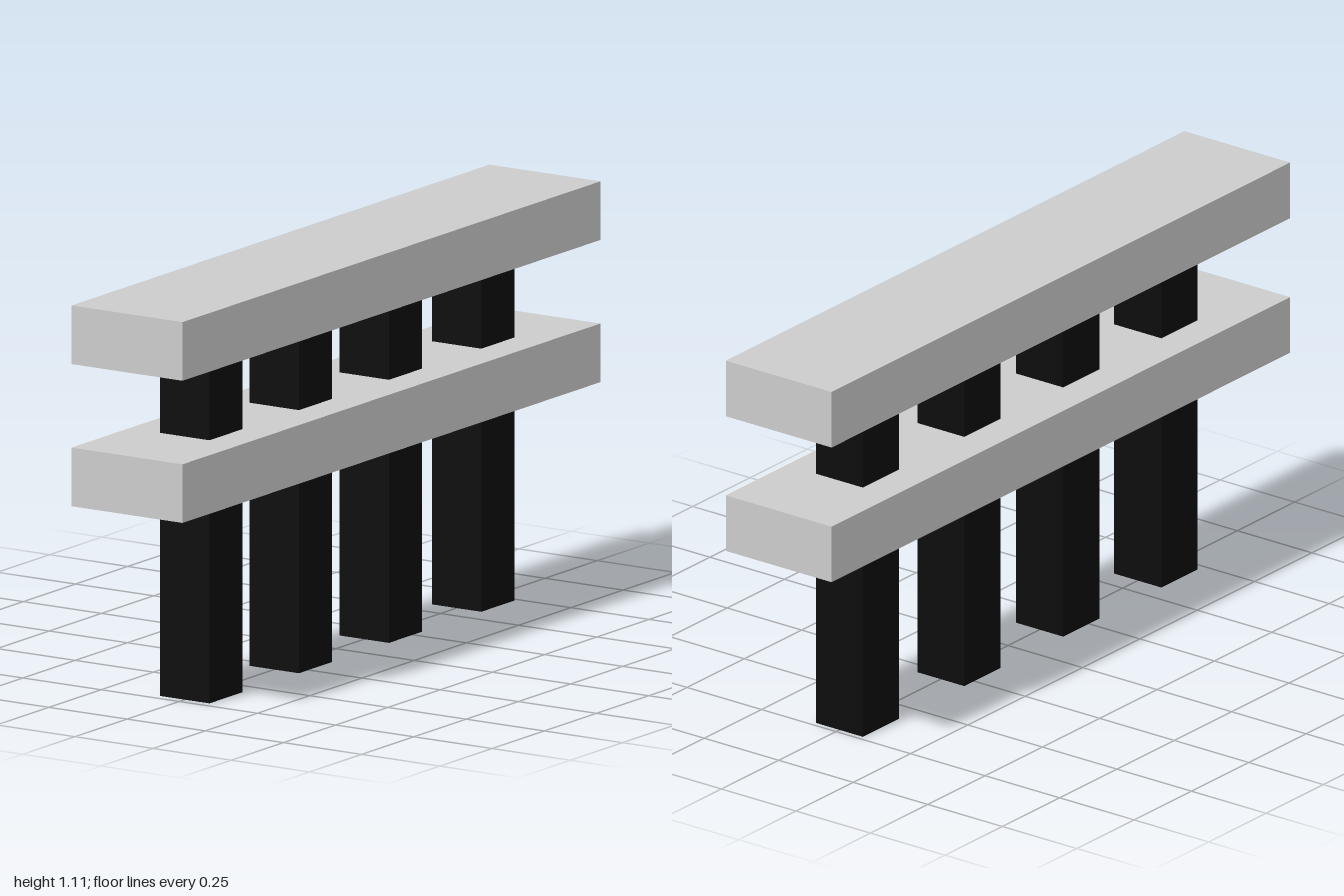
import * as THREE from 'three';

const BEAM = { width: 0.355, height: 0.16, length: 2 };
const POST = { width: 0.158, height: 0.947 };

export function createModel() {
  const model = new THREE.Group();
  model.name = 'railFence';

  const beamMaterial = new THREE.MeshStandardMaterial({ color: 0xcccccc });
  const postMaterial = new THREE.MeshStandardMaterial({ color: 0x0d0d0d });

  // Adds a box standing on the height "bottom"
  function addBox(name, geometry, material, bottom, z) {
    const mesh = new THREE.Mesh(geometry, material);
    mesh.name = name;
    mesh.position.set(0, bottom + geometry.parameters.height / 2, z);
    model.add(mesh);
  }

  // Two horizontal beams running front to back
  const beam = new THREE.BoxGeometry(BEAM.width, BEAM.height, BEAM.length);
  addBox('lowerBeam', beam, beamMaterial, 0.558, 0);
  addBox('upperBeam', beam, beamMaterial, 0.946, 0);

  // Four square posts passing through the lower beam to the upper one
  const post = new THREE.BoxGeometry(POST.width, POST.height, POST.width);
  [0.645, 0.217, -0.214, -0.656].forEach((z, i) => {
    addBox(`post${i + 1}`, post, postMaterial, 0, z);
  });

  return model;
}
